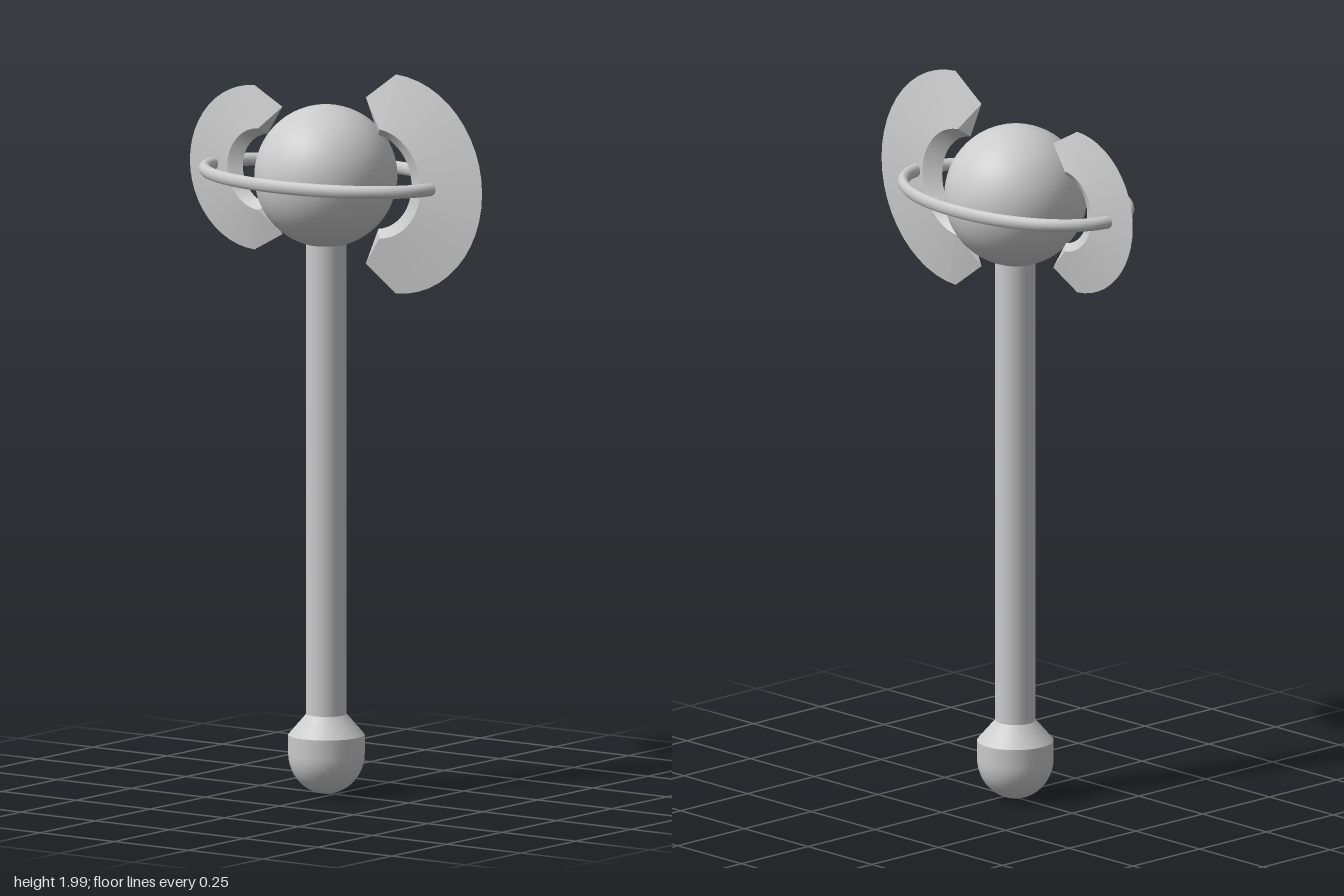
import * as THREE from 'three';
import { toCreasedNormals } from 'three/addons/utils/BufferGeometryUtils.js';

const AXIS_Z = -0.027;
const HEAD_Y = 1.698;

// Crescent blade in the yz plane: sharp outer rim, thick ridge, sharp inner rim.
function bladeGeometry(tipZ, tipY, segments = 24) {
  const arc = (centerZ, radius, spread, x) => (t) => {
    const a = THREE.MathUtils.degToRad(spread) * (1 - 2 * t);
    return [x, radius * Math.sin(a), centerZ + radius * Math.cos(a)];
  };
  const outer = arc(0.197, 0.301, 88, 0);
  const ridge = arc(0.16, 0.15, 86, 0.027);
  const inner = arc(0.13, 0.13, 82, 0);
  const positions = [];

  // Adds a triangle and its mirror on the other side of the blade
  const tri = (a, b, c) => {
    const flip = ([x, y, z]) => [-x, y, z];
    positions.push(...a, ...b, ...c, ...flip(a), ...flip(c), ...flip(b));
  };
  for (let i = 0; i < segments; i++) {
    const t = i / segments, u = (i + 1) / segments;
    for (const [p, q] of [[outer, ridge], [ridge, inner]]) {
      tri(p(t), p(u), q(u));
      tri(p(t), q(u), q(t));
    }
  }
  // Pointed ends
  const top = [0, tipY, tipZ], bottom = [0, -tipY, tipZ];
  tri(outer(0), ridge(0), top);
  tri(ridge(0), inner(0), top);
  tri(outer(1), bottom, ridge(1));
  tri(ridge(1), bottom, inner(1));

  const geometry = new THREE.BufferGeometry();
  geometry.setAttribute('position', new THREE.Float32BufferAttribute(positions, 3));
  return toCreasedNormals(geometry, 0.3);
}

export function createModel() {
  const model = new THREE.Group();
  model.name = 'mace';
  const material = new THREE.MeshStandardMaterial({ color: 0xcccccc });

  const add = (name, geometry, y, z) => {
    const mesh = new THREE.Mesh(geometry, material);
    mesh.name = name;
    mesh.position.set(0, y, z);
    model.add(mesh);
    return mesh;
  };

  // Shaft
  add('shaft', new THREE.CylinderGeometry(0.055, 0.055, 1.36, 32), 0.86, AXIS_Z);

  // Pommel: rounded bottom, short straight wall, sloped shoulder
  const profile = [];
  for (let i = 0; i <= 12; i++) {
    const a = (i / 12) * Math.PI / 2;
    profile.push(new THREE.Vector2(0.104 * Math.sin(a), 0.114 - 0.11 * Math.cos(a)));
  }
  profile.push(
    new THREE.Vector2(0.104, 0.165),
    new THREE.Vector2(0.055, 0.222),
    new THREE.Vector2(0, 0.222)
  );
  add('pommel', toCreasedNormals(new THREE.LatheGeometry(profile, 32), 0.5), 0, AXIS_Z);

  // Head ball
  add('headBall', new THREE.SphereGeometry(0.194, 48, 32), HEAD_Y, AXIS_Z - 0.002);

  // Oval ring joining the two blades
  const ringGeometry = new THREE.TorusGeometry(0.37, 0.018, 12, 64);
  ringGeometry.rotateX(Math.PI / 2);
  ringGeometry.scale(0.627, 1, 1);
  add('ring', ringGeometry, HEAD_Y, -0.03);

  // Large front blade and smaller back blade
  add('frontBlade', bladeGeometry(0.106, 0.228), HEAD_Y, 0);
  const back = add('backBlade', bladeGeometry(0.082, 0.233), HEAD_Y, -0.114);
  back.rotation.y = Math.PI;
  back.scale.setScalar(0.75);

  return model;
}
